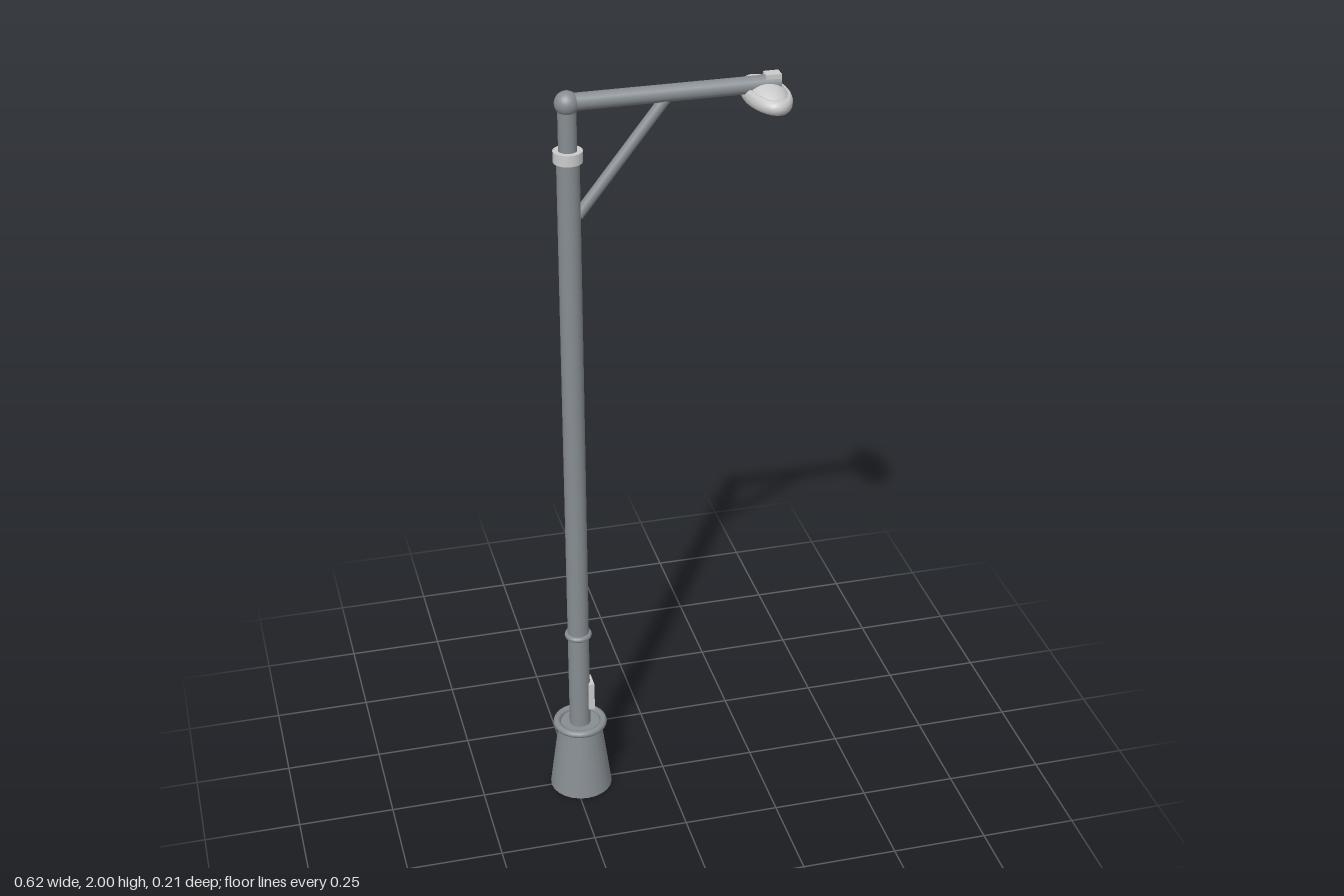
import * as THREE from 'three';

const steel = new THREE.MeshStandardMaterial({ color: 0x878d92 });
const pale = new THREE.MeshStandardMaterial({ color: 0xcccccc });
const glass = new THREE.MeshStandardMaterial({ color: 0xd8d0b8 });

const POLE_X = -0.23;

export function createModel() {
  const model = new THREE.Group();
  model.name = 'streetLamp';

  function add(name, geometry, material, x, y, z = 0, parent = model) {
    const mesh = new THREE.Mesh(geometry, material);
    mesh.name = name;
    mesh.position.set(x, y, z);
    parent.add(mesh);
    return mesh;
  }

  // Upright cylinder on the pole axis between two heights
  const column = (name, material, rTop, rBottom, y0, y1) =>
    add(name, new THREE.CylinderGeometry(rTop, rBottom, y1 - y0, 24), material, POLE_X, (y0 + y1) / 2);

  // Horizontal ring around the pole axis
  const ring = (name, radius, tube, y) =>
    add(name, new THREE.TorusGeometry(radius, tube, 10, 28).rotateX(Math.PI / 2), steel, POLE_X, y);

  // Straight tube between two points in the z = 0 plane
  function rod(name, radius, x0, y0, x1, y1) {
    const dir = new THREE.Vector3(x1 - x0, y1 - y0, 0);
    const mesh = add(name, new THREE.CylinderGeometry(radius, radius, dir.length(), 20), steel,
      (x0 + x1) / 2, (y0 + y1) / 2);
    mesh.quaternion.setFromUnitVectors(new THREE.Vector3(0, 1, 0), dir.normalize());
  }

  // Base and pole
  column('base', steel, 0.057, 0.083, 0, 0.2);
  ring('baseRing', 0.062, 0.01, 0.2);
  column('pole', steel, 0.028, 0.028, 0.18, 1.84);
  ring('poleRing', 0.028, 0.008, 0.483);
  column('collar', pale, 0.036, 0.036, 1.825, 1.853);
  column('poleTop', steel, 0.0225, 0.0225, 1.84, 1.97);
  add('accessDoor', new THREE.BoxGeometry(0.016, 0.08, 0.048), pale, -0.202, 0.29);

  // Elbow, arm and diagonal brace
  add('elbow', new THREE.SphereGeometry(0.03, 24, 16), steel, POLE_X, 1.97);
  rod('arm', 0.021, POLE_X, 1.972, 0.284, 1.972);
  rod('brace', 0.014, -0.208, 1.685, 0.005, 1.957);

  // Lamp head: oval rim with a domed shell above and a lens below
  const head = new THREE.Group();
  head.name = 'lampHead';
  head.position.set(0.252, 1.944, 0);
  head.rotation.z = -0.12;
  head.scale.x = 0.54;
  model.add(head);
  add('rim', new THREE.TorusGeometry(0.089, 0.018, 12, 28).rotateX(Math.PI / 2), pale, 0, 0, 0, head);
  const dome = (name, material, radius, height, start) =>
    add(name, new THREE.SphereGeometry(1, 28, 10, 0, Math.PI * 2, start, Math.PI / 2)
      .scale(radius, height, radius), material, 0, 0, 0, head);
  dome('shell', pale, 0.094, 0.035, 0);
  dome('lens', glass, 0.09, 0.034, Math.PI / 2);

  // Small cap clamped on the arm's end
  add('sensorCap', new THREE.BoxGeometry(0.038, 0.022, 0.03), pale, 0.266, 1.987);

  return model;
}
